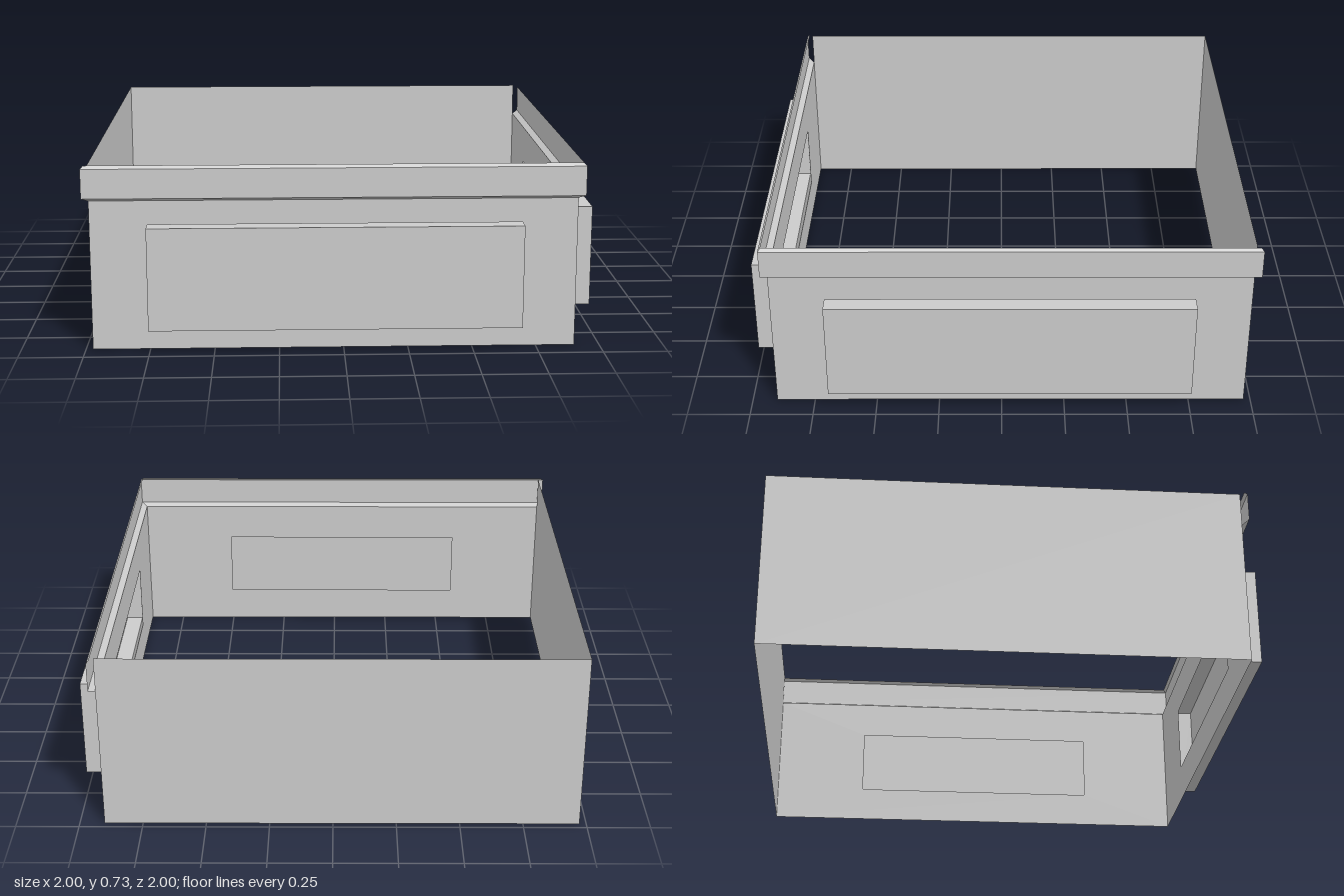
import * as THREE from 'three';

const MIN = -0.973, MAX = 0.902, TOP = 0.73;
const mat = new THREE.MeshStandardMaterial({ color: 0xcccccc, flatShading: true, side: THREE.DoubleSide });

function add(parent, name, geometry) {
  const mesh = new THREE.Mesh(geometry, mat);
  mesh.name = name;
  parent.add(mesh);
  return mesh;
}

// Joins a list of equal-length point loops into a skin of quads
function skin(rings, closed, cap) {
  const n = rings[0].length, index = [];
  for (let r = 0; r < rings.length - 1; r++) {
    for (let i = 0; i < (closed ? n : n - 1); i++) {
      const a = r * n + i, b = r * n + (i + 1) % n;
      index.push(a, b, b + n, a, b + n, a + n);
    }
  }
  if (cap) {
    const s = (rings.length - 1) * n;
    index.push(s, s + 1, s + 2, s, s + 2, s + 3);
  }
  const indexed = new THREE.BufferGeometry();
  indexed.setAttribute('position', new THREE.Float32BufferAttribute(rings.flat(2), 3));
  indexed.setIndex(index);
  const g = indexed.toNonIndexed();
  g.computeVertexNormals();
  return g;
}

const rect = (x0, x1, y0, y1, z) => [[x0, y0, z], [x1, y0, z], [x1, y1, z], [x0, y1, z]];

// One decorated side: wall with opening, stepped rim and raised panel
function createSide(name) {
  const side = new THREE.Group();
  side.name = name;
  const hole = [-0.57, 0.5, 0.15, 0.43];

  const wall = new THREE.Shape(rect(MIN, MAX, 0, 0.59, 0).map(p => new THREE.Vector2(p[0], p[1])));
  wall.holes.push(new THREE.Path(rect(...hole, 0).reverse().map(p => new THREE.Vector2(p[0], p[1]))));
  add(side, 'wall', new THREE.ShapeGeometry(wall).translate(0, 0, MAX));

  // Rim profile as (outward offset, height), mitred at both ends
  const profile = [[0, 0.59], [0.025, 0.603], [0.025, 0.718], [0.014, TOP]];
  add(side, 'rim', skin(profile.map(([d, y]) => [[MIN - d, y, MAX + d], [MAX + d, y, MAX + d]]), false, false));

  // Flared neck out of the opening, then the box-like panel
  const outer = [-0.75, 0.685, 0.1, 0.503];
  add(side, 'panel', skin([
    rect(...hole, MAX), rect(...outer, MAX + 0.025), rect(...outer, MAX + 0.096),
  ], true, true));
  return side;
}

export function createModel() {
  const model = new THREE.Group();
  model.name = 'openFrame';

  model.add(createSide('frontSide'));

  // The left side is the front with x and z exchanged
  const left = createSide('leftSide');
  left.scale.x = -1;
  left.rotation.y = Math.PI / 2;
  model.add(left);

  // Plain walls on the back and the right
  const mid = (MIN + MAX) / 2, len = MAX - MIN;
  const back = add(model, 'backWall', new THREE.PlaneGeometry(len, TOP));
  back.position.set(mid, TOP / 2, MIN);
  back.rotation.y = Math.PI;
  const right = add(model, 'rightWall', new THREE.PlaneGeometry(len, TOP));
  right.position.set(MIN, TOP / 2, mid);
  right.rotation.y = -Math.PI / 2;

  return model;
}
